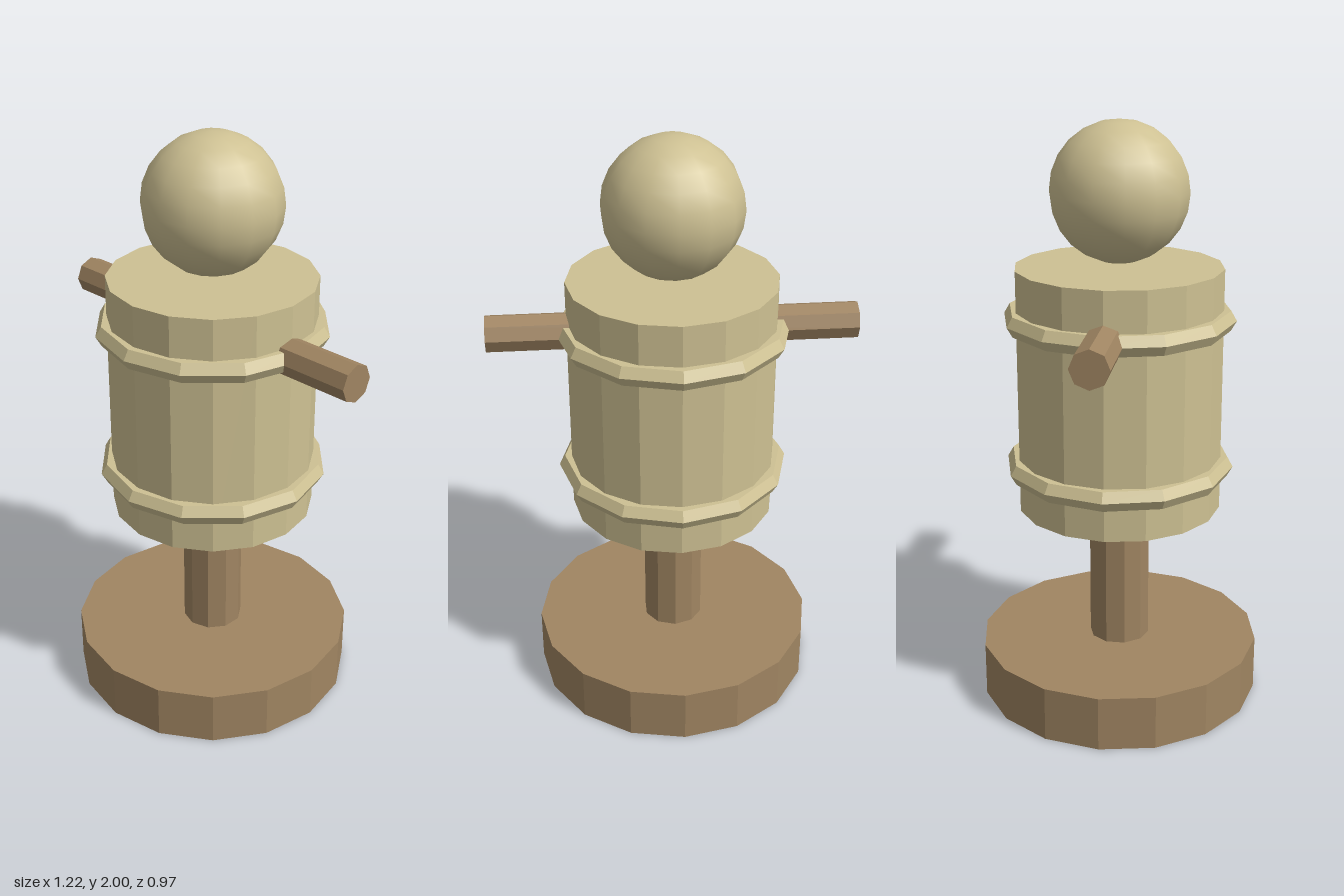
import * as THREE from 'three';

export function createModel() {
  const model = new THREE.Group();
  model.name = 'trainingDummy';

  const wood = new THREE.MeshStandardMaterial({ name: 'wood', color: 0xa08562, flatShading: true });
  const straw = new THREE.MeshStandardMaterial({ name: 'straw', color: 0xcec193, flatShading: true });
  const strawSmooth = new THREE.MeshStandardMaterial({ name: 'smooth straw', color: 0xcec193 });

  const add = (name, geometry, material, x, y) => {
    const mesh = new THREE.Mesh(geometry, material);
    mesh.name = name;
    mesh.position.set(x, y, 0);
    model.add(mesh);
    return mesh;
  };
  // Upright prism between two heights
  const prism = (name, radius, bottom, top, sides, material) =>
    add(name, new THREE.CylinderGeometry(radius, radius, top - bottom, sides), material, 0, (top + bottom) / 2);

  // Stand
  prism('base', 0.487, 0, 0.19, 16, wood);
  prism('post', 0.104, 0.19, 0.69, 10, wood);

  // Padded body with two binding ropes
  prism('body', 0.348, 0.69, 1.525, 16, straw);
  for (const [name, y] of [['lowerRope', 0.84], ['upperRope', 1.353]]) {
    add(name, new THREE.TorusGeometry(0.352, 0.039, 6, 12), straw, 0, y).rotation.x = Math.PI / 2;
  }

  // Crossbar forming both arms
  add('arms', new THREE.CylinderGeometry(0.063, 0.063, 1.22, 8), wood, 0, 1.353).rotation.z = Math.PI / 2;

  // Head floating just above the body
  add('head', new THREE.SphereGeometry(0.231, 14, 12), strawSmooth, 0, 1.769).rotation.y = Math.PI / 2;

  return model;
}
